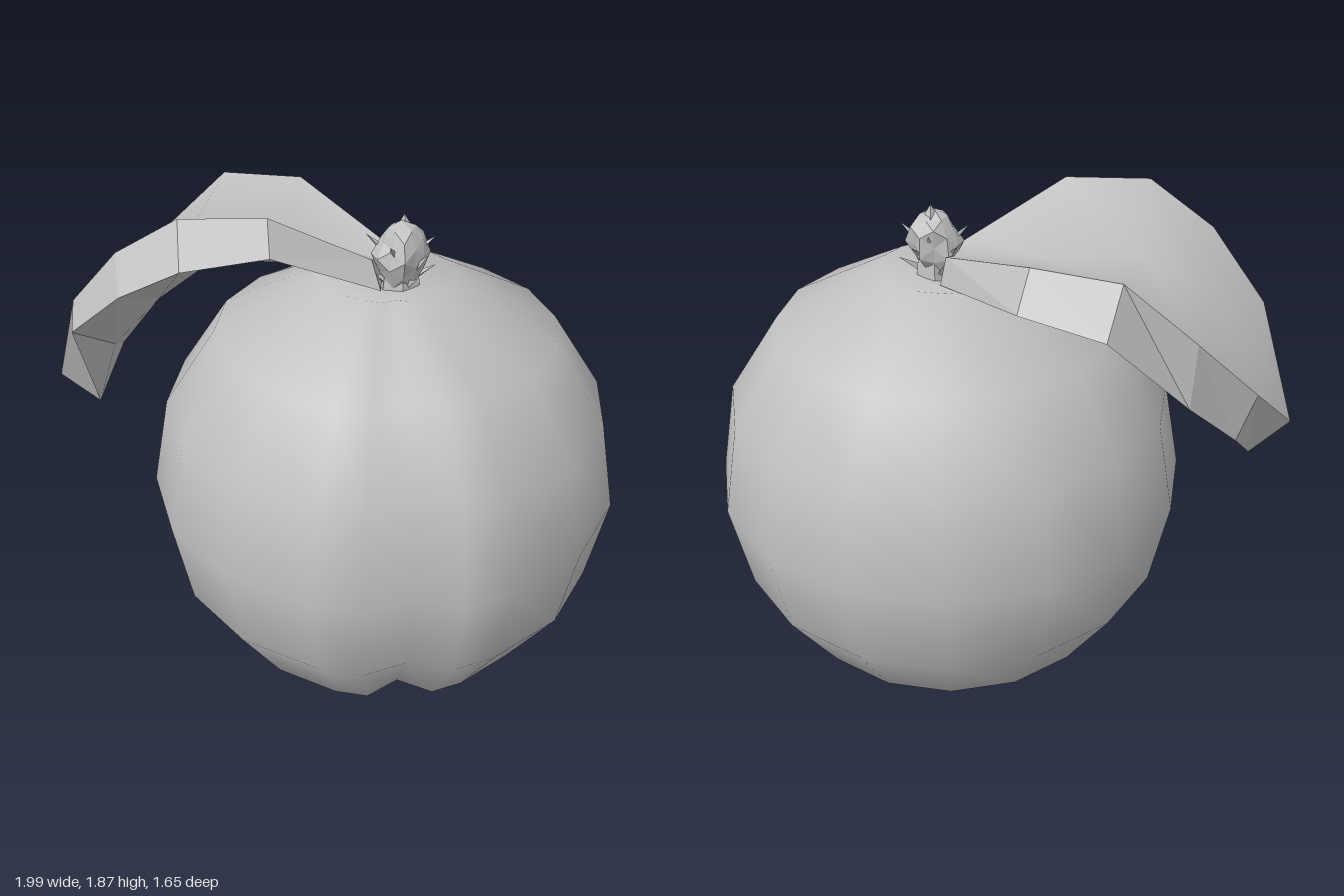
import * as THREE from 'three';
import { mergeVertices } from 'three/addons/utils/BufferGeometryUtils.js';

const V = (x, y, z) => new THREE.Vector3(x, y, z);

// flat or smooth geometry from a list of triangle corner points
function fromTriangles(points, smooth) {
  let geo = new THREE.BufferGeometry().setFromPoints(points);
  if (smooth) geo = mergeVertices(geo, 1e-4);
  geo.computeVertexNormals();
  return geo;
}

// two triangles, dropping the collapsed one at the tip
function quad(list, a, b, c, d) {
  for (const t of [[a, b, c], [a, c, d]]) {
    const area = t[1].clone().sub(t[0]).cross(t[2].clone().sub(t[0])).length();
    if (area > 1e-6) list.push(...t);
  }
}

// round body: a lathe with extra columns for the front crease
function bodyGeometry() {
  const profile = [[0, 0.01], [0.31, 0.07], [0.59, 0.25], [0.77, 0.52], [0.832, 0.84],
    [0.77, 1.16], [0.59, 1.43], [0.23, 1.62], [0, 1.57]];
  const columns = [0, 0.5];
  for (let i = 1; i < 16; i++) columns.push(i);
  columns.push(15.5, 16);
  const pts = profile.map(([r, y]) => new THREE.Vector2(r, y));
  let geo = new THREE.LatheGeometry(pts, columns.length - 1);
  const pos = geo.attributes.position;
  columns.forEach((step, i) => {
    const angle = (step % 16) * Math.PI / 8;
    profile.forEach(([r, y], j) => {
      const crease = step % 16 === 0 ? (y < 0.3 ? 0.86 : 0.92) : 1;
      pos.setXYZ(i * profile.length + j, r * crease * Math.sin(angle), y, r * crease * Math.cos(angle));
    });
  });
  geo.deleteAttribute('uv');
  geo.deleteAttribute('normal');
  geo = mergeVertices(geo, 1e-4);
  geo.computeVertexNormals();
  return geo;
}

export function createModel() {
  const model = new THREE.Group();
  model.name = 'fruit';
  const grey = new THREE.MeshStandardMaterial({ color: 0xc0c0c0 });
  grey.name = 'plain grey';
  const greyFlat = grey.clone();
  greyFlat.flatShading = true;
  const add = (name, geo, mat, parent = model) => {
    const mesh = new THREE.Mesh(geo, mat);
    mesh.name = name;
    parent.add(mesh);
    return mesh;
  };

  add('body', bodyGeometry(), grey).position.x = 0.16;

  // thick folded leaf: front rim, midrib, back rim at each station
  const top = [
    [V(0.1, 1.69, 0.05), V(0.14, 1.66, -0.02), V(0.16, 1.69, -0.1)],
    [V(-0.24, 1.88, 0.13), V(-0.15, 1.71, -0.15), V(-0.1, 1.8, -0.44)],
    [V(-0.52, 1.88, 0.11), V(-0.48, 1.73, -0.2), V(-0.37, 1.79, -0.54)],
    [V(-0.73, 1.74, 0.03), V(-0.7, 1.6, -0.22), V(-0.61, 1.58, -0.52)],
    [V(-0.9, 1.52, -0.09), V(-0.88, 1.4, -0.24), V(-0.83, 1.36, -0.44)],
    Array(3).fill(V(-1, 1.15, -0.25)),
  ];
  const under = [
    [V(0.12, 1.62, 0.14), V(0.14, 1.59, 0), V(0.18, 1.6, -0.12)],
    [V(-0.24, 1.79, 0.24), V(-0.15, 1.6, -0.15), V(-0.06, 1.68, -0.52)],
    [V(-0.52, 1.76, 0.25), V(-0.42, 1.6, -0.2), V(-0.32, 1.64, -0.63)],
    [V(-0.72, 1.65, 0.18), V(-0.62, 1.46, -0.2), V(-0.6, 1.36, -0.53)],
    [V(-0.9, 1.46, 0.03), V(-0.79, 1.28, -0.22), V(-0.78, 1.18, -0.42)],
    Array(3).fill(V(-0.87, 1.03, -0.25)),
  ];
  const face = [], shell = [];
  for (let i = 0; i < 5; i++) {
    const [t, tn, u, un] = [top[i], top[i + 1], under[i], under[i + 1]];
    for (let j = 0; j < 2; j++) {
      quad(face, t[j], t[j + 1], tn[j + 1], tn[j]);
      quad(shell, u[j], un[j], un[j + 1], u[j + 1]);
    }
    quad(shell, t[0], tn[0], un[0], u[0]);
    quad(shell, t[2], u[2], un[2], tn[2]);
  }
  for (let j = 0; j < 2; j++) quad(shell, top[0][j], under[0][j], under[0][j + 1], top[0][j + 1]);
  const leaf = new THREE.Group();
  leaf.name = 'leaf';
  model.add(leaf);
  add('leafFace', fromTriangles(face, true), grey, leaf);
  add('leafUnderside', fromTriangles(shell, false), greyFlat, leaf);

  // crumpled stem: a jittered knob on a waist, with small splinters round it
  let seed = 11;
  const random = () => (seed = (seed * 16807) % 2147483647) / 2147483647;
  const stem = new THREE.Group();
  stem.name = 'stem';
  stem.position.set(0.2, 1.7, 0.02);
  model.add(stem);
  let knob = new THREE.IcosahedronGeometry(0.1, 1);
  knob.deleteAttribute('uv');
  knob.deleteAttribute('normal');
  knob = mergeVertices(knob, 1e-4);
  const p = knob.attributes.position;
  for (let i = 0; i < p.count; i++) {
    const s = 0.75 + 0.3 * random();
    p.setXYZ(i, p.getX(i) * s, p.getY(i) * s * 1.25, p.getZ(i) * s);
  }
  add('stemKnob', knob, greyFlat, stem);
  add('stemBase', new THREE.CylinderGeometry(0.06, 0.075, 0.12, 6), greyFlat, stem).position.y = -0.08;
  for (let i = 0; i < 12; i++) {
    const a = i * Math.PI / 6 + random() * 0.4;
    const splinter = add('stemSplinter', new THREE.ConeGeometry(0.022, 0.09 + 0.04 * random(), 3), greyFlat, stem);
    const dir = V(Math.sin(a), 0.5 + random(), Math.cos(a)).normalize();
    splinter.position.set(Math.sin(a) * 0.07, -0.08 + (i % 3) * 0.05, Math.cos(a) * 0.07);
    splinter.quaternion.setFromUnitVectors(V(0, 1, 0), dir);
  }
  add('stemTip', new THREE.ConeGeometry(0.05, 0.08, 4), greyFlat, stem).position.set(0.01, 0.09, -0.01);
  return model;
}
